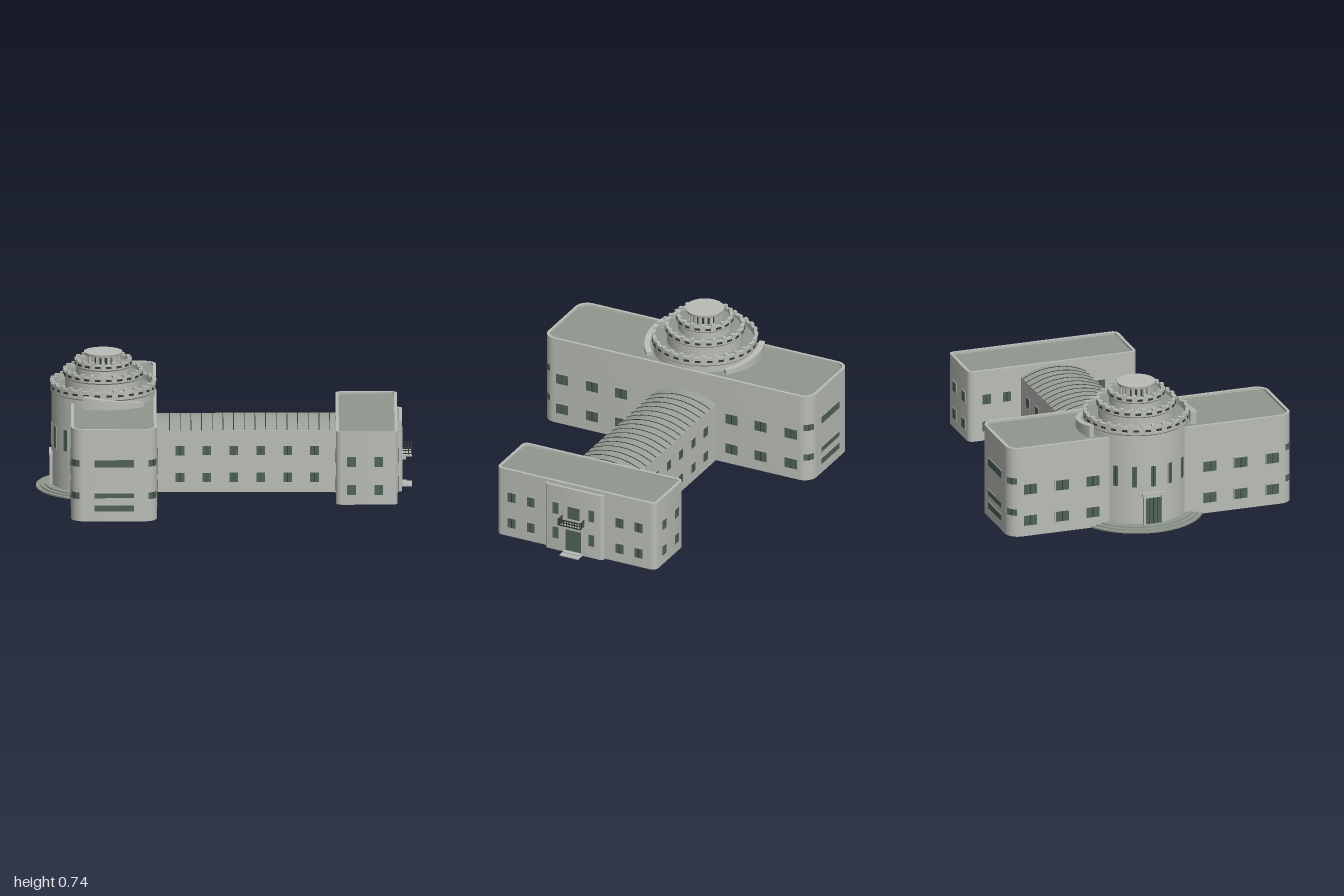
import * as THREE from 'three';
import { toCreasedNormals } from 'three/addons/utils/BufferGeometryUtils.js';

const mat = (name, color, side = THREE.FrontSide) => {
  const m = new THREE.MeshStandardMaterial({ color, side });
  m.name = name;
  return m;
};

export function createModel() {
  const wall = mat('wall stone', 0xb9bcb6);
  const roof = mat('roof grey green', 0x8e978d);
  const vault = mat('vault roof', 0x9aa098);
  const glass = mat('window glass', 0x4f6257);
  const dark = mat('dark metal', 0x343a36);
  const model = new THREE.Group();
  model.name = 'building';

  const add = (name, geo, m, x = 0, y = 0, z = 0, ry = 0, parent = model) => {
    const mesh = new THREE.Mesh(geo, m);
    mesh.name = name;
    mesh.position.set(x, y, z);
    mesh.rotation.y = ry;
    parent.add(mesh);
    return mesh;
  };
  const box = (name, m, w, h, d, x, y, z, ry = 0, parent = model) =>
    add(name, new THREE.BoxGeometry(w, h, d), m, x, y, z, ry, parent);

  // Rounded rectangle centred on the origin
  const roundRect = (w, d, r, Type = THREE.Shape) => {
    const s = new Type(), a = w / 2, b = d / 2;
    s.moveTo(-a + r, -b);
    s.absarc(a - r, -b + r, r, -Math.PI / 2, 0);
    s.absarc(a - r, b - r, r, 0, Math.PI / 2);
    s.absarc(-a + r, b - r, r, Math.PI / 2, Math.PI);
    s.absarc(-a + r, -b + r, r, Math.PI, Math.PI * 1.5);
    return s;
  };
  const extrudeUp = (shape, h) => toCreasedNormals(
    new THREE.ExtrudeGeometry(shape, { depth: h, bevelEnabled: false, curveSegments: 10 }).rotateX(-Math.PI / 2), 0.6);

  // Block with a hollow parapet and a sunken flat roof
  const block = (name, x0, x1, z0, z1, h, r) => {
    const w = x1 - x0, d = z1 - z0, x = (x0 + x1) / 2, z = (z0 + z1) / 2, t = 0.016, drop = 0.016;
    add(name + 'Walls', extrudeUp(roundRect(w, d, r), h - drop), wall, x, 0, z);
    const ring = roundRect(w, d, r);
    ring.holes.push(roundRect(w - 2 * t, d - 2 * t, r - t, THREE.Path));
    add(name + 'Parapet', extrudeUp(ring, drop), wall, x, h - drop, z);
    add(name + 'Roof', extrudeUp(roundRect(w - 2 * t, d - 2 * t, r - t), 0.003), roof, x, h - drop, z);
  };

  // Window facing along angle ry, with frame, glass and upright bars
  const windowAt = (x, y, z, ry, w, h, bars = 1) => {
    const g = new THREE.Group();
    g.name = 'window';
    g.position.set(x, y, z);
    g.rotation.y = ry;
    box('windowFrame', wall, w + 0.012, h + 0.012, 0.004, 0, 0, 0, 0, g);
    box('windowGlass', glass, w, h, 0.007, 0, 0, 0, 0, g);
    for (let i = 1; i <= bars; i++)
      box('windowBar', dark, 0.004, h, 0.009, -w / 2 + (w * i) / (bars + 1), 0, 0, 0, g);
    model.add(g);
  };
  const E = Math.PI / 2, W = -Math.PI / 2, S = 0, N = Math.PI;

  // Main wing
  block('mainWing', -0.815, -0.36, -0.8, 0.8, 0.5, 0.07);
  for (const s of [1, -1]) {
    const ry = s > 0 ? S : N;
    windowAt(-0.587, 0.315, s * 0.8, ry, 0.21, 0.038, 0);
    windowAt(-0.587, 0.14, s * 0.8, ry, 0.21, 0.026, 0);
    windowAt(-0.587, 0.07, s * 0.8, ry, 0.21, 0.032, 0);
    for (const z of [0.683, 0.503, 0.33]) for (const y of [0.265, 0.088]) {
      windowAt(-0.36, y, s * z, E, 0.072, 0.056);
      if (z > 0.3) windowAt(-0.815, y, s * z, W, 0.072, 0.056);
    }
    // Curved windows on the rounded corners
    for (const sx of [1, -1]) for (const y of [0.315, 0.138]) {
      const a = Math.atan2(sx, s), cx = -0.5875 + sx * 0.1575;
      const pane = (n, m, r, len, h) => add(n,
        new THREE.CylinderGeometry(r, r, h, 8, 1, true, a - len / 2, len), m, cx, y, s * 0.73);
      pane('cornerWindow', glass, 0.0725, 0.85, 0.036);
      pane('cornerWindowBar', dark, 0.0735, 0.08, 0.036);
    }
  }

  // Connecting corridor with a shallow vaulted roof
  const cz = -0.0575, half = 0.1775, rise = 0.045;
  box('corridorWalls', wall, 0.97, 0.336, half * 2, 0.12, 0.168, cz);
  const R = (half * half + rise * rise) / (2 * rise), arcA = Math.asin(half / R);
  const vaultGeo = (r, len) => {
    const s = new THREE.Shape();
    s.absarc(0, -(R - rise), r, Math.PI / 2 - arcA, Math.PI / 2 + arcA);
    return toCreasedNormals(new THREE.ExtrudeGeometry(s, { depth: len, bevelEnabled: false, curveSegments: 14 })
      .translate(0, 0, -len / 2).rotateY(Math.PI / 2), 0.5);
  };
  add('corridorVault', vaultGeo(R, 0.97), vault, 0.12, 0.335, cz);
  for (let i = 0; i < 16; i++)
    add('vaultRib', vaultGeo(R + 0.002, 0.004), dark, -0.29 + i * 0.0567, 0.335, cz);
  for (let i = 0; i < 6; i++) for (const y of [0.226, 0.08]) {
    windowAt(-0.235 + i * 0.143, y, cz + half, S, 0.046, 0.05);
    windowAt(-0.235 + i * 0.143, y, cz - half, N, 0.046, 0.05);
  }

  // East wing
  block('eastWing', 0.593, 0.92, -0.53, 0.42, 0.396, 0.032);
  for (const y of [0.234, 0.081]) {
    for (const x of [0.675, 0.82]) {
      windowAt(x, y, 0.42, S, 0.046, 0.052, 0);
      windowAt(x, y, -0.53, N, 0.046, 0.052, 0);
    }
    for (const z of [0.328, 0.213, -0.316, -0.43]) {
      windowAt(0.92, y, z, E, 0.046, 0.054);
      windowAt(0.593, y, z, W, 0.046, 0.054);
    }
  }

  // Entrance bay, door, steps and balcony
  block('entranceBay', 0.898, 0.945, -0.228, 0.118, 0.382, 0.018);
  for (const z of [0.053, -0.16]) {
    windowAt(0.945, 0.25, z, E, 0.034, 0.066, 0);
    windowAt(0.945, 0.104, z, E, 0.034, 0.066, 0);
  }
  windowAt(0.945, 0.24, -0.054, E, 0.07, 0.07, 0);
  windowAt(0.945, 0.078, -0.053, E, 0.094, 0.128, 0);
  box('doorStepUpper', wall, 0.03, 0.014, 0.1, 0.958, 0.007, -0.053);
  box('doorStepLower', wall, 0.055, 0.007, 0.11, 0.9715, 0.0035, -0.053);
  box('balconySlab', wall, 0.055, 0.01, 0.135, 0.9715, 0.172, -0.053);
  for (const z of [0.0, -0.106]) box('balconyBracket', wall, 0.024, 0.018, 0.01, 0.955, 0.159, z);
  for (const y of [0.183, 0.2, 0.215]) {
    box('balconyRail', dark, 0.005, 0.005, 0.135, 0.9965, y, -0.053);
    for (const z of [0.012, -0.118]) box('balconyRail', dark, 0.05, 0.005, 0.005, 0.972, y, z);
  }
  for (let i = 0; i < 9; i++)
    box('balconyBaluster', dark, 0.004, 0.042, 0.004, 0.9965, 0.197, 0.012 - i * 0.01625);
  for (const z of [0.012, -0.118]) for (const x of [0.962, 0.98])
    box('balconyBaluster', dark, 0.004, 0.042, 0.004, x, 0.197, z);

  // Round tower, stepped in tiers
  const tx = -0.6425, tz = -0.025;
  const lathe = (name, pts, m) => add(name, toCreasedNormals(
    new THREE.LatheGeometry(pts.map(p => new THREE.Vector2(...p)), 64), 0.5), m, tx, 0, tz);
  const onRing = (n, fn, offset = 0) => {
    for (let i = 0; i < n; i++) {
      const a = ((i + offset) / n) * Math.PI * 2;
      fn(a, Math.sin(a), Math.cos(a));
    }
  };
  // Columns: wall radius, wall foot, rim foot, rim top, rim radius, merlon count
  const tiers = [
    [0.273, 0, 0.53, 0.574, 0.28, 28],
    [0.203, 0.54, 0.605, 0.636, 0.21, 22],
    [0.143, 0.6, 0.662, 0.692, 0.15, 16]];
  for (const [r, y0, y1, y2, rr, n] of tiers) {
    lathe('towerTier', [[r, y0], [r, y1 - 0.007], [rr, y1], [rr, y2], [rr - 0.016, y2], [rr - 0.016, y1 + 0.012]], wall);
    lathe('towerTerrace', [[rr - 0.015, y1 + 0.012], [0, y1 + 0.012]], roof);
    onRing(n, (a, s, c) => box('merlon', wall, 0.02, 0.013, 0.02,
      tx + s * (rr - 0.007), y2 + 0.005, tz + c * (rr - 0.007), a));
    onRing(n, (a, s, c) => box('towerSlot', dark, 0.03, 0.011, 0.006,
      tx + s * (rr - 0.001), (y1 + y2) / 2, tz + c * (rr - 0.001), a), 0.5);
  }
  // Lantern with pillars and a cap
  lathe('lanternCore', [[0.08, 0.67], [0.08, 0.725]], dark);
  onRing(18, (a, s, c) => box('lanternPillar', wall, 0.016, 0.05, 0.014, tx + s * 0.084, 0.699, tz + c * 0.084, a));
  lathe('lanternCap', [[0, 0.721], [0.1, 0.721], [0.103, 0.735], [0, 0.735]], wall);

  // Sloping curved parapets beside the tower
  for (const s of [1, -1]) {
    const a0 = -0.35, a1 = 0.74, shape = new THREE.Shape();
    const mid = -s * Math.PI / 2;
    shape.absarc(0, 0, 0.322, mid + s * a0, mid + s * a1, s < 0);
    shape.absarc(0, 0, 0.29, mid + s * a1, mid + s * a0, s > 0);
    const geo = new THREE.ExtrudeGeometry(shape, { depth: 0.07, bevelEnabled: false, curveSegments: 16 }).rotateX(-Math.PI / 2);
    const p = geo.attributes.position;
    for (let i = 0; i < p.count; i++) if (p.getY(i) > 0.01) {
      const t = (Math.atan2(p.getX(i), s * p.getZ(i)) - a0) / (a1 - a0);
      p.setY(i, 0.07 - 0.045 * t);
    }
    geo.computeVertexNormals();
    add('curvedParapet', toCreasedNormals(geo, 0.5), wall, tx, 0.484, tz);
  }

  // Round steps at the tower foot
  [[0.3575, 0.008], [0.335, 0.015], [0.312, 0.022]].forEach(([r, h]) =>
    add('towerStep', new THREE.CylinderGeometry(r, r, h, 64, 1, false, Math.PI, Math.PI), roof, tx, h / 2, tz));

  // Tower door and tall windows on the west side
  const towerWindow = (deg, y, w, h, bars) => {
    const a = -Math.PI / 2 + deg * Math.PI / 180;
    windowAt(tx + Math.sin(a) * 0.273, y, tz + Math.cos(a) * 0.273, a, w, h, bars);
  };
  for (const d of [-43, -21.5, 0, 21.5, 43]) towerWindow(d, 0.29, 0.026, 0.115, 1);
  towerWindow(0, 0.095, 0.085, 0.145, 3);
  const doorX = tx - 0.277;
  for (const z of [-0.05, 0.05]) box('doorJamb', wall, 0.014, 0.17, 0.012, doorX, 0.1, tz + z);
  box('doorLintel', wall, 0.02, 0.016, 0.125, doorX, 0.19, tz);
  return model;
}
